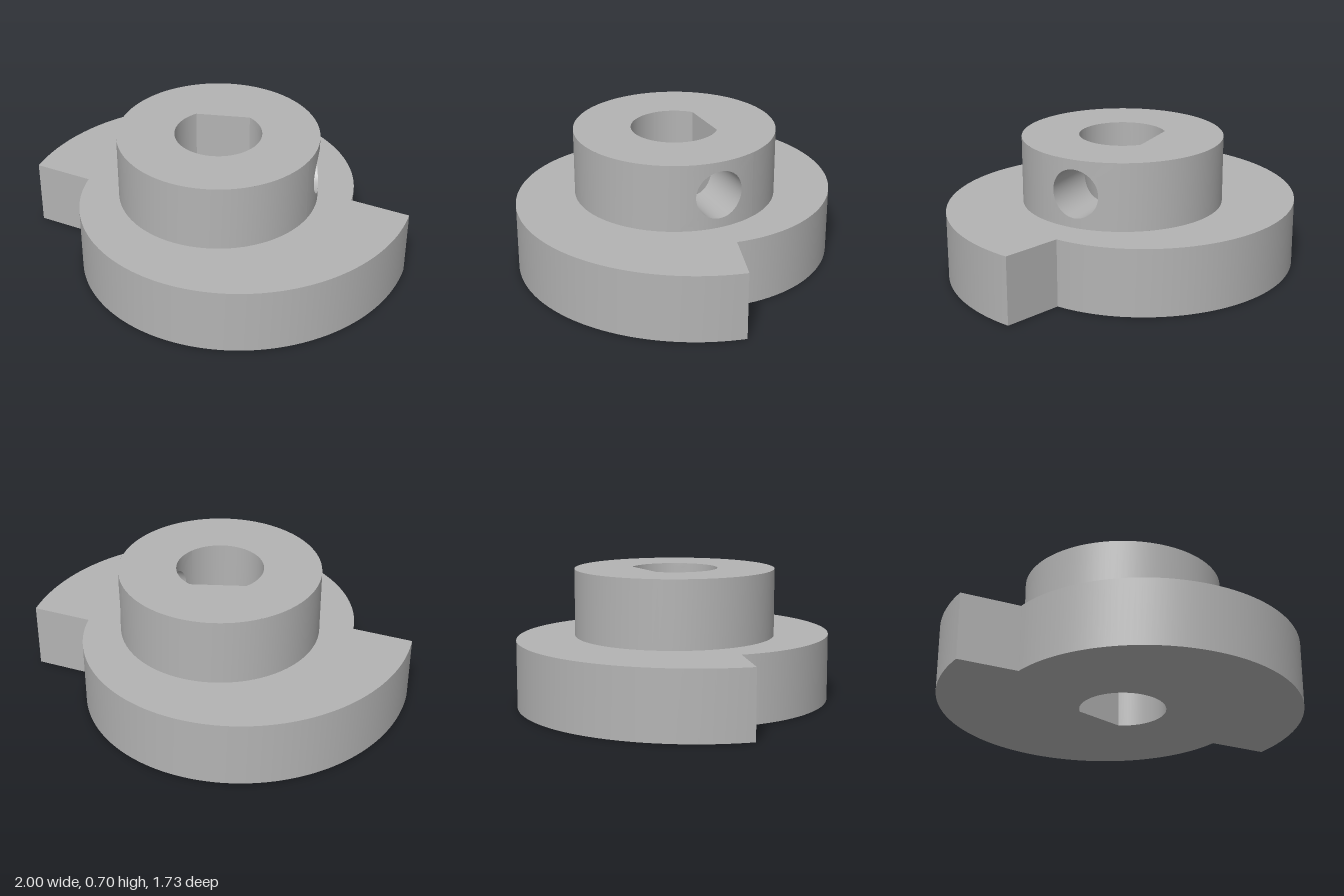
import * as THREE from 'three';
import { mergeGeometries, toCreasedNormals } from 'three/addons/utils/BufferGeometryUtils.js';

const CAM_TOP = 0.35, HUB_TOP = 0.7, HUB_R = 0.522, BORE_R = 0.225, FLAT = 0.175;
const SCREW_R = 0.125, SCREW_Y = 0.525;
const HUB_W = 0.2, BORE_W = 0.16; // half widths of the wall patches around the screw hole

// Plan points: x right, y towards the back, counter-clockwise
const polar = (r, a) => new THREE.Vector2(r * Math.cos(a), r * Math.sin(a));
const arc = (r, a0, a1, n) => Array.from({ length: n + 1 }, (_, i) => polar(r, a0 + (a1 - a0) * i / n));

// Quad surface through rows of points
function surface(rows) {
  const pos = [];
  for (let j = 0; j < rows.length - 1; j++) {
    for (let i = 0; i < rows[j].length - 1; i++) {
      const a = rows[j][i], b = rows[j][i + 1], c = rows[j + 1][i + 1], d = rows[j + 1][i];
      for (const p of [a, b, c, a, c, d]) pos.push(p.x, p.y, p.z);
    }
  }
  const g = new THREE.BufferGeometry();
  g.setAttribute('position', new THREE.Float32BufferAttribute(pos, 3));
  return toCreasedNormals(g, 0.5);
}

const wall = (pts, y0, y1) =>
  surface([y0, y1].map(y => pts.map(p => new THREE.Vector3(p.x, y, -p.y))));

// Flat face with a hole, facing up or down
function cap(outline, hole, y, down = false) {
  const shape = new THREE.Shape(outline);
  shape.holes.push(new THREE.Path(hole));
  let g = new THREE.ShapeGeometry(shape);
  if (down) {
    const ix = g.index.array;
    for (let i = 0; i < ix.length; i += 3) [ix[i], ix[i + 1]] = [ix[i + 1], ix[i]];
  }
  g.rotateX(-Math.PI / 2).translate(0, y, 0);
  g = g.toNonIndexed();
  g.deleteAttribute('uv');
  g.computeVertexNormals();
  return g;
}

// Two half-turn spiral lobes, each ending in a step
function camOutline() {
  const pts = [], n = 80, sweep = Math.PI - Math.atan2(0.097, 1);
  for (const turn of [0, Math.PI]) {
    for (let i = 0; i <= n; i++) pts.push(polar(0.7 + 0.305 * i / n, turn + sweep * i / n));
  }
  return pts;
}

// Radial screw hole with the wall patches around both of its mouths
function screwHole() {
  const n = 64, rings = 5;
  const ring = (R, w, t) => Array.from({ length: n + 1 }, (_, k) => {
    const a = 2 * Math.PI * k / n, c = Math.cos(a), s = Math.sin(a);
    const m = Math.max(Math.abs(c), Math.abs(s));
    const side = THREE.MathUtils.lerp(SCREW_R * c, w * c / m, t);
    const up = THREE.MathUtils.lerp(SCREW_R * s, (HUB_TOP - CAM_TOP) / 2 * s / m, t);
    return new THREE.Vector3(Math.sqrt(R * R - side * side), SCREW_Y + up, -side);
  });
  const rows = [];
  for (let i = rings; i >= 0; i--) rows.push(ring(HUB_R, HUB_W, i / rings));
  for (let i = 0; i <= rings; i++) rows.push(ring(BORE_R, BORE_W, i / rings));
  return surface(rows);
}

export function createModel() {
  const grey = new THREE.MeshStandardMaterial({ color: 0xb3b3b3, side: THREE.DoubleSide });
  grey.name = 'plain grey';
  const group = new THREE.Group();
  group.name = 'camWithHub';
  const add = (name, ...parts) => {
    const mesh = new THREE.Mesh(mergeGeometries(parts), grey);
    mesh.name = name;
    group.add(mesh);
  };

  const TAU = 2 * Math.PI;
  const cam = camOutline();
  const hubCircle = arc(HUB_R, 0, TAU, 96).slice(0, -1);
  const flatA = Math.asin(FLAT / BORE_R);
  const bore = arc(BORE_R, Math.PI - flatA, TAU + flatA, 72); // D-shaped

  // Cam disc
  add('cam', wall([...cam, cam[0]], 0, CAM_TOP), cap(cam, bore, 0, true), cap(cam, hubCircle, CAM_TOP));

  // Hub, left open where the screw hole patch sits
  const hubA = Math.asin(HUB_W / HUB_R);
  add('hub', wall(arc(HUB_R, hubA, TAU - hubA, 88), CAM_TOP, HUB_TOP), cap(hubCircle, bore, HUB_TOP));

  // Bore walls face inwards, so their points run the other way
  const boreA = Math.asin(BORE_W / BORE_R);
  const upper = [...arc(BORE_R, boreA, flatA, 4), ...arc(BORE_R, Math.PI - flatA, TAU - boreA, 56)];
  add('shaftBore', wall([...bore, bore[0]].reverse(), 0, CAM_TOP), wall(upper.reverse(), CAM_TOP, HUB_TOP));

  add('screwHole', screwHole());
  return group;
}
